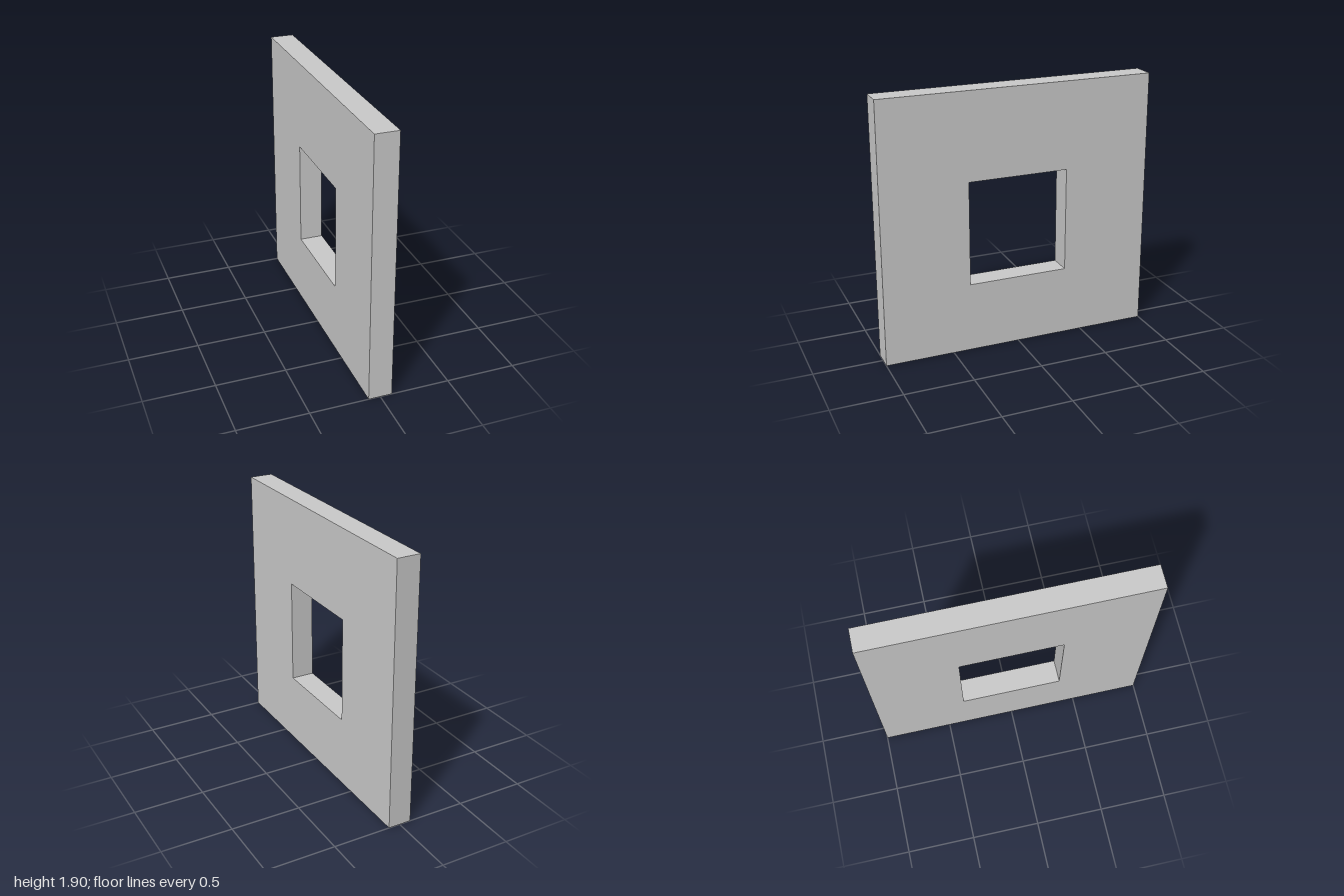
import * as THREE from 'three';

const HEIGHT = 1.905;
const THICKNESS = 0.167;

// Closed four-sided outline, symmetric about the vertical axis
const outline = (Type, bottomHalf, topHalf, y0, y1) =>
  new Type([
    new THREE.Vector2(-bottomHalf, y0),
    new THREE.Vector2(bottomHalf, y0),
    new THREE.Vector2(topHalf, y1),
    new THREE.Vector2(-topHalf, y1),
  ]);

export function createModel() {
  const group = new THREE.Group();
  group.name = 'wallWithWindow';

  // Wall panel, very slightly narrower at the top, with a window opening
  const wall = outline(THREE.Shape, 1, 0.995, 0, HEIGHT);
  wall.holes.push(outline(THREE.Path, 0.365, 0.365, 0.51, 1.27));

  const geometry = new THREE.ExtrudeGeometry(wall, { depth: THICKNESS, bevelEnabled: false });
  geometry.translate(0, 0, -THICKNESS / 2);
  geometry.rotateY(Math.PI / 2); // thickness along x, width along z

  const panel = new THREE.Mesh(
    geometry,
    new THREE.MeshStandardMaterial({ color: 0xcccccc, flatShading: true })
  );
  panel.name = 'wallPanel';
  group.add(panel);
  return group;
}
